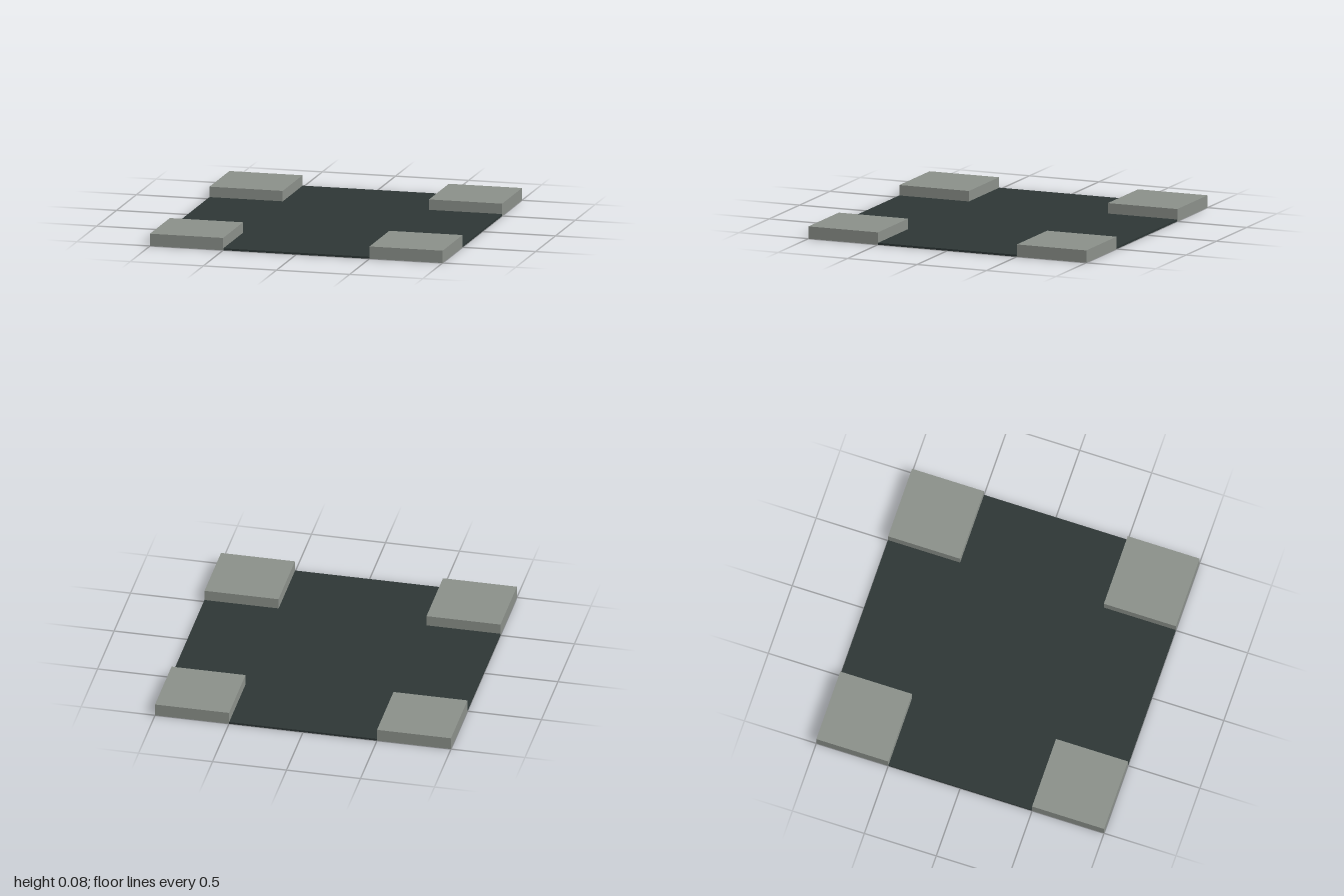
import * as THREE from 'three';

const PAD = 0.5, PAD_H = 0.083, FLOOR_H = 0.013;

// Box with its underside left open, standing on y = 0
function openBox(w, h, d) {
  const geo = new THREE.BoxGeometry(w, h, d).translate(0, h / 2, 0);
  const index = Array.from(geo.index.array);
  index.splice(18, 6); // the downward face
  geo.setIndex(index);
  geo.clearGroups();
  return geo;
}

export function createModel() {
  const model = new THREE.Group();
  model.name = 'platform';

  const darkFloor = new THREE.MeshStandardMaterial({ color: 0x2d3635 });
  darkFloor.name = 'dark floor';
  const greyPad = new THREE.MeshStandardMaterial({ color: 0x8a8f89, side: THREE.DoubleSide });
  greyPad.name = 'grey pad';

  // Cross-shaped floor slab, a hair clear of the pad walls
  const a = 1, b = PAD - 0.001;
  const cross = new THREE.Shape([
    [-b, -a], [b, -a], [b, -b], [a, -b], [a, b], [b, b],
    [b, a], [-b, a], [-b, b], [-a, b], [-a, -b], [-b, -b],
  ].map(([x, y]) => new THREE.Vector2(x, y)));
  const slab = new THREE.ExtrudeGeometry(cross, { depth: FLOOR_H, bevelEnabled: false });
  slab.rotateX(-Math.PI / 2);
  const floor = new THREE.Mesh(slab, darkFloor);
  floor.name = 'floor';
  model.add(floor);

  // Raised hollow pads on the four corners
  const padGeo = openBox(PAD, PAD_H, PAD);
  for (const [x, xName] of [[1, 'Left'], [-1, 'Right']]) {
    for (const [z, zName] of [[1, 'front'], [-1, 'back']]) {
      const pad = new THREE.Mesh(padGeo, greyPad);
      pad.name = `${zName}${xName}Pad`;
      pad.position.set(x * (1 - PAD / 2), 0, z * (1 - PAD / 2));
      model.add(pad);
    }
  }
  return model;
}
